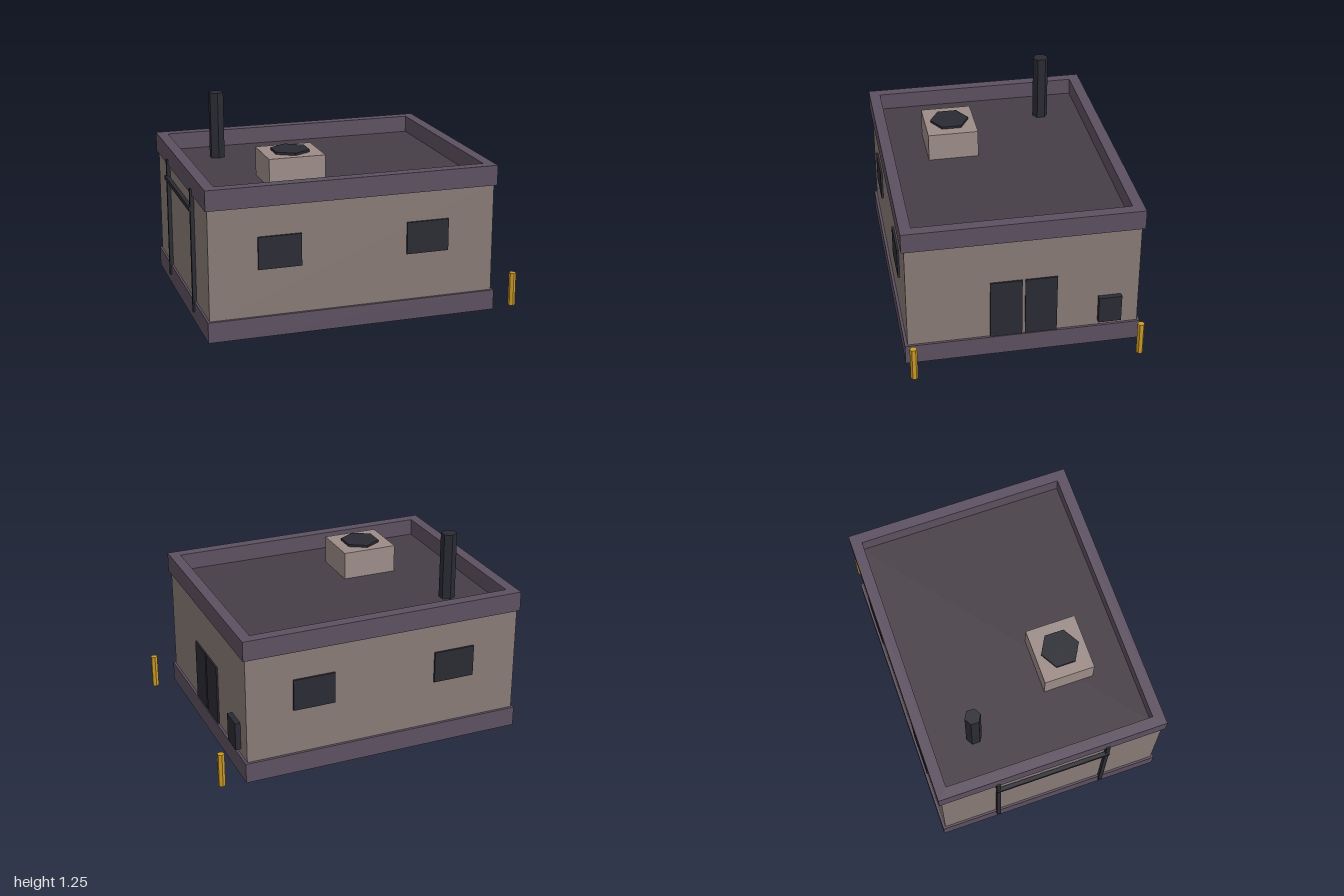
import * as THREE from 'three';

const material = (color) => new THREE.MeshStandardMaterial({ color, flatShading: true });

export function createModel() {
  const model = new THREE.Group();
  const trim = material(0x5c5060);
  const wall = material(0x887a76);
  const roofing = material(0x463e46);
  const pale = material(0x9c8c88);
  const dark = material(0x2a2a33);
  const yellow = material(0xcc9a28);

  const add = (name, geometry, mat) => {
    const mesh = new THREE.Mesh(geometry, mat);
    mesh.name = name;
    model.add(mesh);
    return mesh;
  };
  // Box given by its limits on each axis
  const box = (name, mat, [x0, x1], [y0, y1], [z0, z1]) =>
    add(name, new THREE.BoxGeometry(x1 - x0, y1 - y0, z1 - z0), mat)
      .position.set((x0 + x1) / 2, (y0 + y1) / 2, (z0 + z1) / 2);
  // Upright six-sided prism with corners towards +z and -z
  const hexPost = (name, mat, radius, x, z, y0, y1) =>
    add(name, new THREE.CylinderGeometry(radius, radius, y1 - y0, 6), mat)
      .position.set(x, (y0 + y1) / 2, z);

  // Building shell
  box('plinth', trim, [-0.98, 0.835], [0, 0.127], [-0.73, 0.73]);
  box('walls', wall, [-0.967, 0.82], [0.12, 0.81], [-0.713, 0.713]);
  box('roofDeck', roofing, [-0.92, 0.77], [0.807, 0.822], [-0.67, 0.67]);

  // Parapet ring around the roof
  const rect = (target, x0, x1, z) => {
    target.moveTo(x0, -z);
    target.lineTo(x1, -z);
    target.lineTo(x1, z);
    target.lineTo(x0, z);
    target.closePath();
    return target;
  };
  const ring = rect(new THREE.Shape(), -0.98, 0.835, 0.73);
  ring.holes.push(rect(new THREE.Path(), -0.912, 0.767, 0.66));
  const parapet = new THREE.ExtrudeGeometry(ring, { depth: 0.125, bevelEnabled: false });
  parapet.rotateX(-Math.PI / 2);
  add('parapet', parapet, trim).position.y = 0.805;

  // Roof fittings
  box('ventHousing', pale, [-0.517, -0.165], [0.82, 1.0], [0.108, 0.428]);
  hexPost('ventCap', dark, 0.123, -0.341, 0.268, 0.995, 1.015);
  hexPost('chimney', dark, 0.05, -0.644, -0.394, 0.82, 1.25);

  // Windows on the front and back
  for (const z of [[0.70, 0.726], [-0.726, -0.70]]) {
    for (const x of [[-0.67, -0.404], [0.257, 0.524]]) {
      box('window', dark, x, [0.42, 0.62], z);
    }
  }

  // Double door and wall box on the +x side
  for (const z of [[0.01, 0.207], [-0.205, -0.008]]) {
    box('doorLeaf', dark, [0.81, 0.83], [0.127, 0.52], z);
  }
  box('wallBox', dark, [0.81, 0.853], [0.162, 0.34], [-0.604, -0.461]);

  // Pipe frame on the -x side
  for (const z of [-0.353, 0.353]) {
    box('framePost', dark, [-0.99, -0.964], [0.06, 0.84], [z - 0.013, z + 0.013]);
  }
  box('frameRail', dark, [-1.0, -0.975], [0.705, 0.732], [-0.366, 0.366]);

  // Bollards beside the door side
  for (const z of [-0.695, 0.695]) {
    hexPost('bollard', yellow, 0.0225, 0.977, z, 0, 0.215);
  }

  return model;
}
